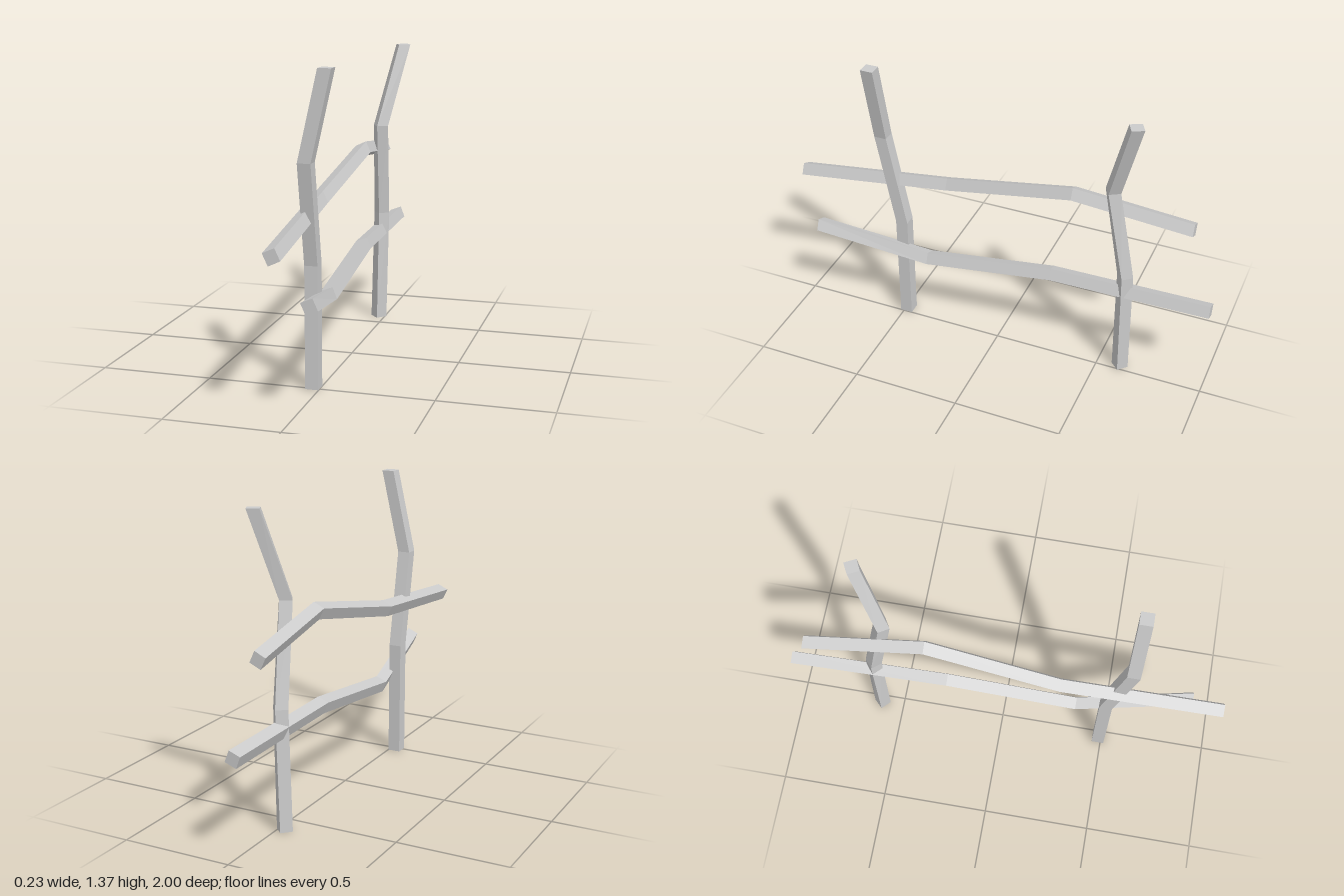
import * as THREE from 'three';

const HALF_DIAGONAL = 0.039;

// Crooked square bar: each station is [x, y, z, roll in degrees].
// Sections stay perpendicular to the main axis ('y' for posts, 'z' for rails).
function crookedBar(name, axis, stations, radius = HALF_DIAGONAL) {
  const rings = stations.map(([x, y, z, roll]) =>
    [0, 1, 2, 3].map((i) => {
      const a = THREE.MathUtils.degToRad(roll + i * 90);
      const u = radius * Math.cos(a), v = radius * Math.sin(a);
      return axis === 'y' ? [x + v, y, z + u] : [x + u, y + v, z];
    }));
  const pos = [];
  const quad = (a, b, c, d) => pos.push(...a, ...b, ...c, ...a, ...c, ...d);

  // Sides
  for (let s = 0; s < rings.length - 1; s++) {
    const lo = rings[s], hi = rings[s + 1];
    for (let i = 0; i < 4; i++) {
      const j = (i + 1) % 4;
      quad(lo[i], lo[j], hi[j], hi[i]);
    }
  }
  // End caps
  const first = rings[0], last = rings[rings.length - 1];
  quad(first[3], first[2], first[1], first[0]);
  quad(last[0], last[1], last[2], last[3]);

  const geometry = new THREE.BufferGeometry();
  geometry.setAttribute('position', new THREE.Float32BufferAttribute(pos, 3));
  geometry.computeVertexNormals();
  const mesh = new THREE.Mesh(geometry,
    new THREE.MeshStandardMaterial({ color: 0xcccccc, flatShading: true }));
  mesh.name = name;
  return mesh;
}

export function createModel() {
  const fence = new THREE.Group();
  fence.name = 'fence';

  // Upright posts
  fence.add(crookedBar('frontPost', 'y', [
    [-0.03, 0, 0.487, 45],
    [-0.03, 0.54, 0.487, 45],
    [-0.03, 0.985, 0.573, 45],
    [0.058, 1.37, 0.573, 45],
  ], 0.041));
  fence.add(crookedBar('backPost', 'y', [
    [-0.031, 0, -0.607, 0],
    [-0.018, 0.54, -0.605, -6],
    [-0.005, 0.985, -0.53, -14],
    [0.078, 1.37, -0.635, -18],
  ]));

  // Long crossing rails
  fence.add(crookedBar('upperRail', 'z', [
    [-0.081, 0.826, -0.88, -20],
    [-0.042, 0.897, -0.34, -20],
    [-0.066, 0.773, 0.27, -20],
    [-0.031, 0.695, 1, -20],
  ]));
  fence.add(crookedBar('lowerRail', 'z', [
    [-0.033, 0.451, -1, -24],
    [-0.018, 0.451, -0.26, -24],
    [-0.002, 0.373, 0.35, -24],
    [0.079, 0.475, 0.88, -21],
  ]));

  return fence;
}
